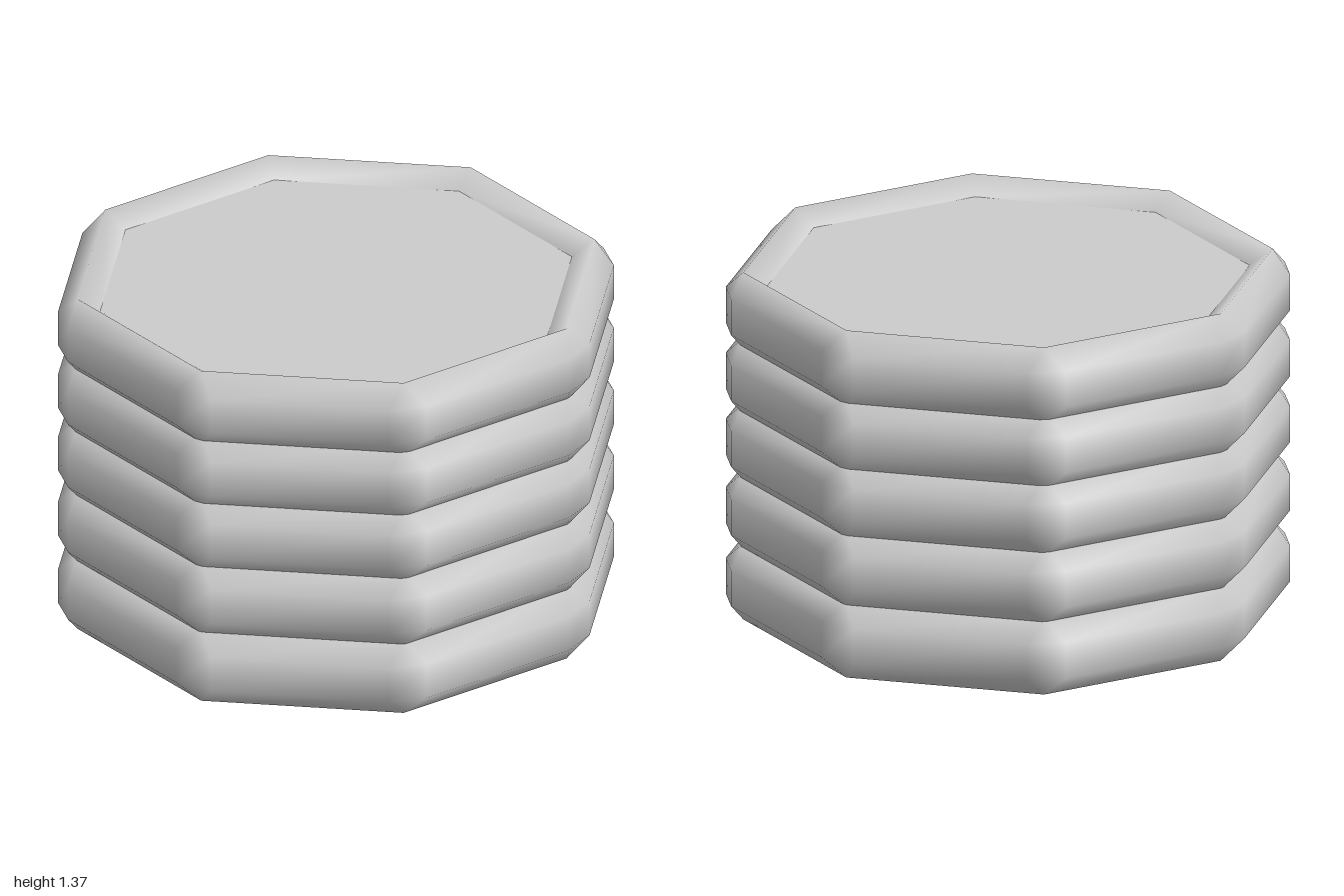
import * as THREE from 'three';
import { mergeVertices } from 'three/addons/utils/BufferGeometryUtils.js';

const SIDES = 8, STEP = Math.PI / 4, BEVEL = 0.08, HEIGHT = 0.3;
const FLOOR_Y = HEIGHT - 0.062;

// Octagon loop with two points per side; trim shortens each side to chamfer the corners
function octagonLoop(apothem, y, trim) {
  const half = apothem * Math.tan(STEP / 2) - trim;
  const loop = [];
  for (let k = 0; k < SIDES; k++) {
    const sin = Math.sin(k * STEP), cos = Math.cos(k * STEP);
    for (const s of [-half, half]) {
      loop.push([apothem * sin + s * cos, y, apothem * cos - s * sin]);
    }
  }
  return loop;
}

// Smooth bevelled rim: bottom edge, side, ridge and inner slope
function rimGeometry() {
  const loops = [
    octagonLoop(1 - BEVEL, 0, 0),
    octagonLoop(1, BEVEL, BEVEL),
    octagonLoop(1, HEIGHT - BEVEL, BEVEL),
    octagonLoop(1 - BEVEL, HEIGHT, 0),
    octagonLoop(1 - 2 * BEVEL, FLOOR_Y, 0),
  ];
  const positions = [];
  for (let j = 0; j < loops.length - 1; j++) {
    const low = loops[j], high = loops[j + 1];
    for (let i = 0; i < low.length; i++) {
      const n = (i + 1) % low.length;
      positions.push(...low[i], ...low[n], ...high[n], ...low[i], ...high[n], ...high[i]);
    }
  }
  const geometry = new THREE.BufferGeometry();
  geometry.setAttribute('position', new THREE.Float32BufferAttribute(positions, 3));
  const merged = mergeVertices(geometry, 1e-4);
  merged.computeVertexNormals();
  return merged;
}

// Flat octagonal cap facing up (1) or down (-1)
function capGeometry(apothem, y, facing) {
  return new THREE.CircleGeometry(apothem / Math.cos(STEP / 2), SIDES, STEP / 2)
    .rotateX(-facing * Math.PI / 2)
    .translate(0, y, 0);
}

export function createModel() {
  const grey = new THREE.MeshStandardMaterial({ color: 0xcccccc });
  grey.name = 'light grey';
  const parts = {
    rim: rimGeometry(),
    recessedTop: capGeometry(1 - 2 * BEVEL, FLOOR_Y, 1),
    underside: capGeometry(1 - BEVEL, 0, -1),
  };

  // Five discs, each sunk slightly into the one below
  const stack = new THREE.Group();
  stack.name = 'discStack';
  [0, 0.28, 0.55, 0.81, 1.07].forEach((y, i) => {
    const disc = new THREE.Group();
    disc.name = `disc${i + 1}`;
    disc.position.y = y;
    for (const [name, geometry] of Object.entries(parts)) {
      const mesh = new THREE.Mesh(geometry, grey);
      mesh.name = name;
      disc.add(mesh);
    }
    stack.add(disc);
  });
  return stack;
}
